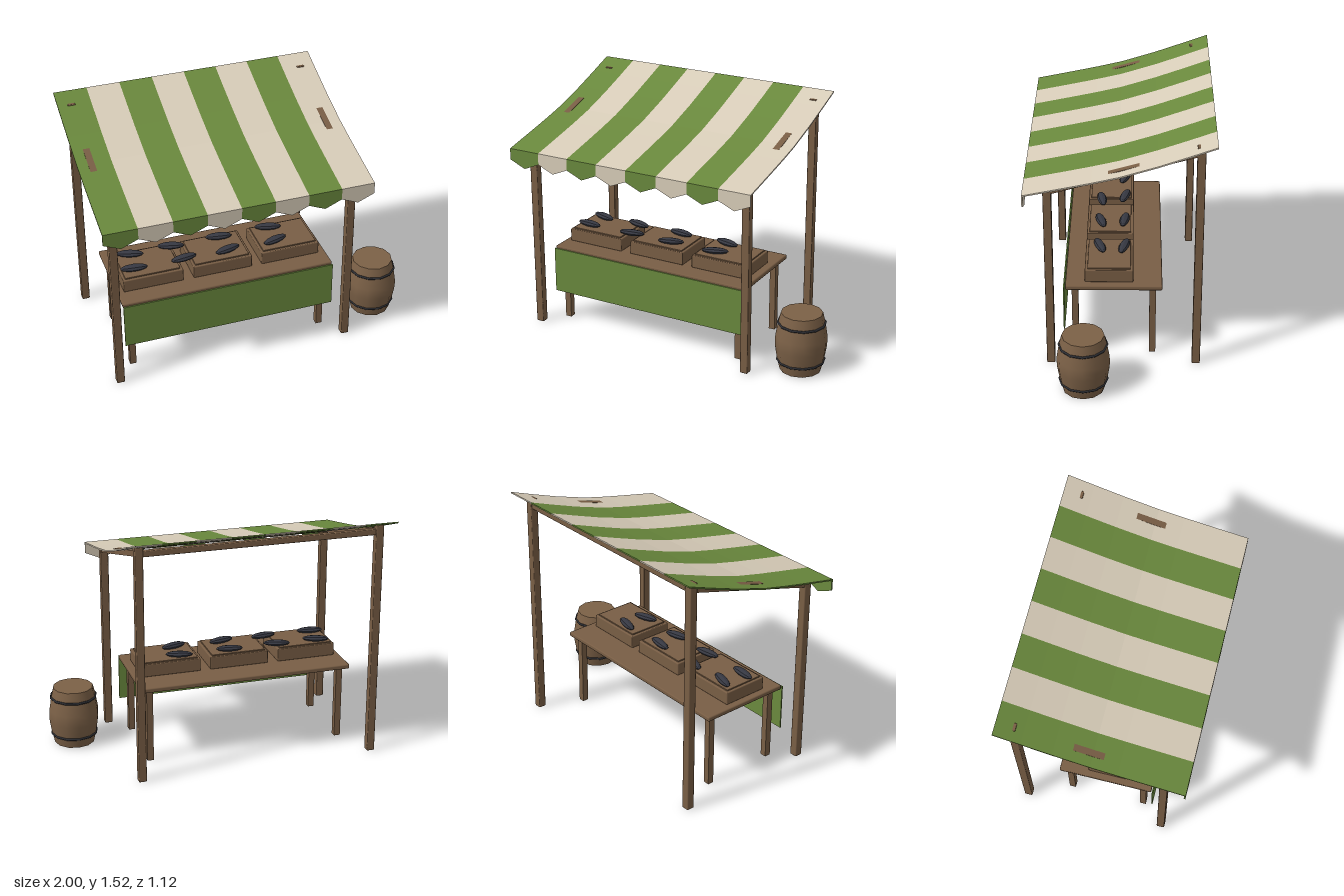
import * as THREE from 'three';
import { RoundedBoxGeometry } from 'three/addons/geometries/RoundedBoxGeometry.js';

const mat = (name, color, opts = {}) => {
  const m = new THREE.MeshStandardMaterial({ color, ...opts });
  m.name = name;
  return m;
};

export function createModel() {
  const wood = mat('wood', 0x795e45);
  const barrelWood = mat('barrelWood', 0x7c6147);
  const green = mat('greenCloth', 0x6a893d);
  const cream = mat('creamCloth', 0xd8cdb9);
  const fishSkin = mat('fishSkin', 0x363842, { flatShading: true });
  const iron = mat('iron', 0x2c2d32);

  const model = new THREE.Group();
  model.name = 'marketStall';
  const group = (name) => {
    const g = new THREE.Group();
    g.name = name;
    model.add(g);
    return g;
  };
  const add = (parent, name, geo, material, x = 0, y = 0, z = 0) => {
    const m = new THREE.Mesh(geo, material);
    m.name = name;
    m.position.set(x, y, z);
    parent.add(m);
    return m;
  };
  // Softly bevelled box given by its minimum and maximum corners
  const block = (parent, name, [x0, y0, z0], [x1, y1, z1], material = wood, r = 0.006) =>
    add(parent, name, new RoundedBoxGeometry(x1 - x0, y1 - y0, z1 - z0, 1, r), material,
      (x0 + x1) / 2, (y0 + y1) / 2, (z0 + z1) / 2);

  // Frame: four posts, two cross beams, two sloping side beams
  const frame = group('frame');
  for (const x of [-0.915, 0.57]) {
    block(frame, 'frontPost', [x - 0.025, 0, 0.395], [x + 0.025, 1.225, 0.445]);
    block(frame, 'backPost', [x - 0.025, 0, -0.495], [x + 0.025, 1.485, -0.445]);
    const dz = 0.88, dy = 0.252;
    const beam = add(frame, 'sideBeam',
      new THREE.BoxGeometry(0.04, 0.036, Math.hypot(dz, dy)), wood, x, 1.322, -0.03);
    beam.rotation.x = Math.atan2(dy, dz);
  }
  block(frame, 'frontBeam', [-0.9, 1.175, 0.402], [0.555, 1.212, 0.438]);
  block(frame, 'backBeam', [-0.9, 1.425, -0.488], [0.555, 1.462, -0.452]);

  // Canopy: striped sagging cloth with a pointed valance
  const canopy = group('canopy');
  const sag = [[0.56, 1.207], [0.3, 1.261], [0.16, 1.291], [0, 1.329],
    [-0.22, 1.398], [-0.4, 1.462], [-0.56, 1.521]];
  const top = sag.map(([z, y]) => new THREE.Vector2(-z, y));
  const under = sag.map(([z, y]) => new THREE.Vector2(-z, y - 0.009)).reverse();
  const profile = new THREE.Shape([...top, ...under]);
  const stripes = 8, w = 1.66 / stripes;
  for (let i = 0; i < stripes; i++) {
    const x = -1 + i * w;
    const cloth = i % 2 ? cream : green;
    const roof = new THREE.ExtrudeGeometry(profile, { depth: w, bevelEnabled: false });
    roof.rotateY(Math.PI / 2);
    add(canopy, 'canopyStripe', roof, cloth, x);
    const flap = new THREE.Shape([[0, 1.207], [0, 1.135], [w / 2, 1.09], [w, 1.135], [w, 1.207]]
      .map(([a, b]) => new THREE.Vector2(a, b)));
    add(canopy, 'valanceFlap',
      new THREE.ExtrudeGeometry(flap, { depth: 0.009, bevelEnabled: false }), cloth, x, 0, 0.553);
  }

  // Table with a hanging front cloth
  const table = group('table');
  block(table, 'tableTop', [-0.85, 0.474, -0.26], [0.51, 0.504, 0.33], wood, 0.008);
  for (const x of [-0.795, 0.45]) {
    for (const z of [0.272, -0.202]) {
      add(table, 'tableLeg', new THREE.BoxGeometry(0.04, 0.48, 0.04), wood, x, 0.24, z);
    }
  }
  add(table, 'tableCloth', new THREE.BoxGeometry(1.36, 0.295, 0.008), green, -0.17, 0.3425, 0.339);

  // Crates with a slightly raised lid
  const crates = group('crates');
  for (const x of [-0.62, -0.173, 0.272]) {
    block(crates, 'crate', [x - 0.191, 0.504, -0.083], [x + 0.191, 0.587, 0.212]);
    block(crates, 'crateTop', [x - 0.175, 0.57, -0.067], [x + 0.175, 0.595, 0.196], wood, 0.003);
  }

  // Fish: [x, z, yaw]
  const fishGroup = group('fish');
  const fish = [[-0.72, 0.125, -0.1], [-0.705, -0.025, -0.3], [-0.4, 0.125, 0.15], [-0.44, -0.025, -0.25],
    [-0.115, 0.125, 0.25], [-0.125, -0.025, -0.15], [0.2, 0.125, 0.3], [0.205, -0.025, -0.25]];
  const body = new THREE.SphereGeometry(1, 8, 6);
  body.rotateZ(Math.PI / 2);
  body.scale(0.085, 0.02, 0.031);
  for (const [x, z, yaw] of fish) {
    add(fishGroup, 'fishBody', body, fishSkin, x, 0.61, z).rotation.y = yaw;
  }

  // Barrel with two iron hoops
  const barrel = group('barrel');
  barrel.position.set(0.84, 0, 0.212);
  const staves = [[0.127, 0], [0.143, 0.065], [0.157, 0.15], [0.159, 0.19],
    [0.157, 0.225], [0.143, 0.31], [0.127, 0.375]].map(([r, y]) => new THREE.Vector2(r, y));
  add(barrel, 'barrelBody', new THREE.LatheGeometry(staves, 12), barrelWood);
  for (const [y, turn] of [[0.375, -1], [0, 1]]) {
    const lid = new THREE.CircleGeometry(0.127, 12);
    lid.rotateX(turn * Math.PI / 2);
    add(barrel, 'barrelLid', lid, barrelWood, 0, y, 0);
  }
  for (const y of [0.065, 0.31]) {
    const hoop = new THREE.TorusGeometry(0.143, 0.008, 6, 12);
    hoop.rotateX(Math.PI / 2);
    add(barrel, 'barrelHoop', hoop, iron, 0, y, 0);
  }

  return model;
}
